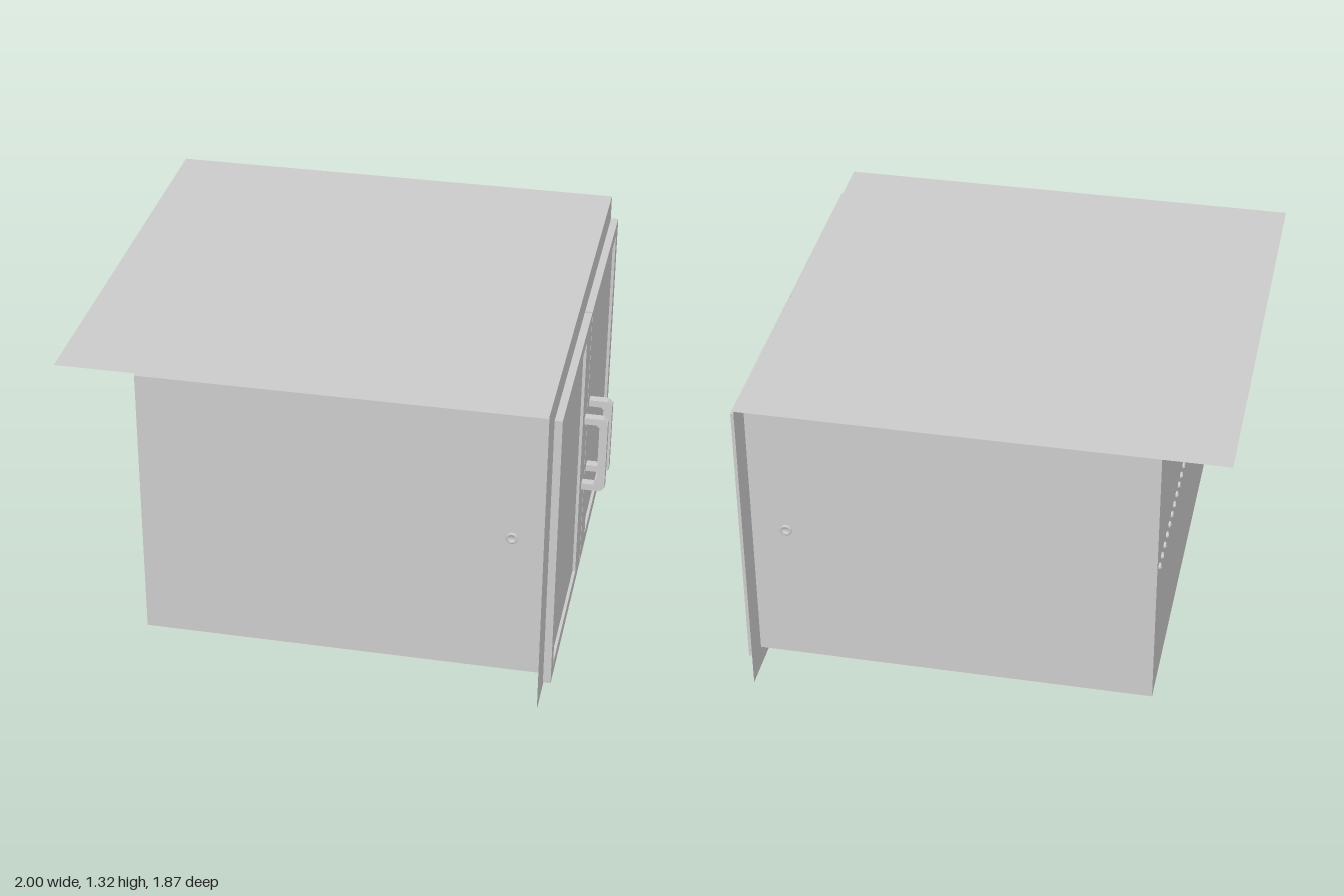
import * as THREE from 'three';

const material = new THREE.MeshStandardMaterial({ color: 0xcccccc, flatShading: true });
const sheetMaterial = new THREE.MeshStandardMaterial({ color: 0xcccccc, side: THREE.DoubleSide });

function add(parent, name, geometry, x = 0, y = 0, z = 0, mat = material) {
  const mesh = new THREE.Mesh(geometry, mat);
  mesh.name = name;
  mesh.position.set(x, y, z);
  parent.add(mesh);
  return mesh;
}

// Rectangle outline as a list of points
function rect(x0, y0, x1, y1) {
  return [[x0, y0], [x1, y0], [x1, y1], [x0, y1]].map(([x, y]) => new THREE.Vector2(x, y));
}

// Door facing +x: backing board plus a frame that leaves a shallow recessed panel
function addDoor(parent, name, z0, z1, panel0, panel1) {
  const door = new THREE.Group();
  door.name = name;
  const back = 0.876, front = 0.906, recess = 0.012;
  const y0 = 0.07, y1 = 1.253;
  add(door, 'doorBoard', new THREE.BoxGeometry(front - recess - back, y1 - y0, z1 - z0),
    (back + front - recess) / 2, (y0 + y1) / 2, (z0 + z1) / 2);
  const shape = new THREE.Shape(rect(-z1, y0, -z0, y1));
  shape.holes.push(new THREE.Path(rect(-panel1, 0.125, -panel0, 1.2)));
  const frame = new THREE.ExtrudeGeometry(shape, { depth: recess, bevelEnabled: false });
  frame.rotateY(Math.PI / 2);
  add(door, 'doorFrame', frame, front - recess);
  parent.add(door);
}

// Bracket handle with chamfered corners
function handleGeometry() {
  const points = [
    [0.906, 0.49], [0.982, 0.49], [1, 0.508], [1, 0.808], [0.982, 0.825], [0.906, 0.825],
    [0.906, 0.797], [0.955, 0.797], [0.967, 0.785], [0.967, 0.53], [0.955, 0.518], [0.906, 0.518],
  ].map(([x, y]) => new THREE.Vector2(x, y));
  const geometry = new THREE.ExtrudeGeometry(new THREE.Shape(points), { depth: 0.037, bevelEnabled: false });
  return geometry.translate(0, 0, -0.0185);
}

// Small dished ring whose axis is +y
function ringGeometry(radius, height) {
  const profile = [[0, 0.2], [0.5, 0.2], [0.55, 1], [0.85, 1], [1, 0.7], [1, 0]]
    .map(([r, h]) => new THREE.Vector2(r * radius, h * height)).reverse();
  return new THREE.LatheGeometry(profile, 12);
}

export function createModel() {
  const model = new THREE.Group();
  model.name = 'cabinet';

  // Closed body box
  add(model, 'body', new THREE.BoxGeometry(1.595, 1.15, 1.63), 0.0695, 0.662, 0);

  // Thin counter sheet and face plate
  const counter = new THREE.PlaneGeometry(1.867, 1.868).rotateX(-Math.PI / 2);
  add(model, 'counterSheet', counter, -0.0665, 1.318, 0, sheetMaterial);
  const plate = new THREE.PlaneGeometry(1.868, 1.318).rotateY(Math.PI / 2);
  add(model, 'facePlate', plate, 0.867, 0.659, 0, sheetMaterial);

  // Pair of doors
  addDoor(model, 'leftDoor', 0, 0.85, 0.145, 0.792);
  addDoor(model, 'rightDoor', -0.857, -0.01, -0.802, -0.15);

  // Handles
  const handle = handleGeometry();
  for (const z of [0.071, -0.074]) add(model, 'handle', handle, 0, 0, z);

  // One grommet on each side wall
  const grommet = ringGeometry(0.024, 0.008);
  for (const side of [1, -1]) {
    add(model, 'sideGrommet', grommet, 0.73, 0.7, side * 0.815, sheetMaterial).rotation.x = side * Math.PI / 2;
  }

  // Row of vent rings along the back wall
  const vent = ringGeometry(0.014, 0.009);
  const count = 24;
  for (let i = 0; i < count; i++) {
    const z = -0.77 + (1.54 * i) / (count - 1);
    add(model, 'ventRing', vent, -0.728, 0.703, z, sheetMaterial).rotation.z = Math.PI / 2;
  }

  return model;
}
